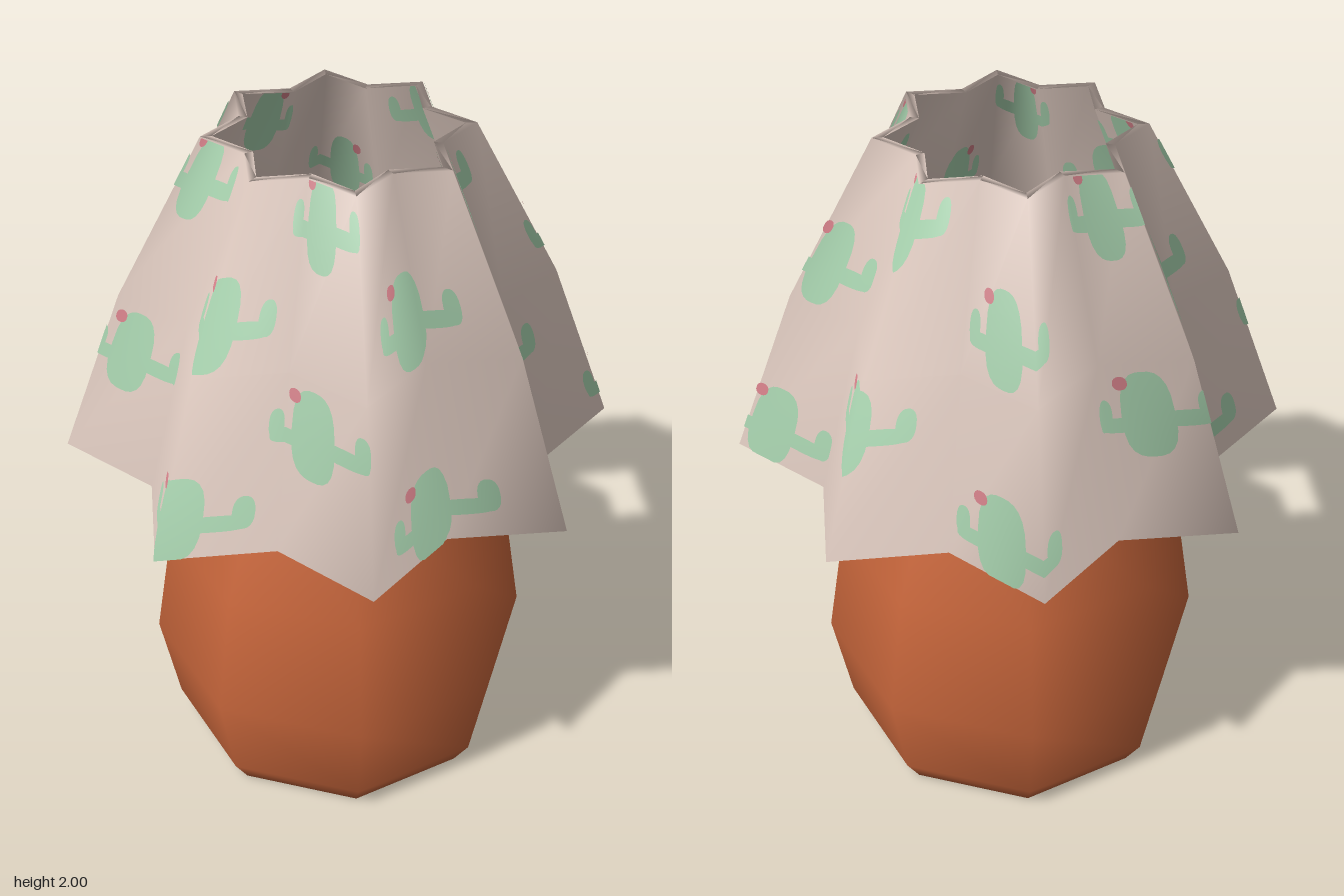
import * as THREE from 'three';

const mat = (name, color, side = THREE.FrontSide) => {
  const m = new THREE.MeshStandardMaterial({ color, side });
  m.name = name;
  return m;
};

// Shade cross-section as a closed loop: [tip radius, valley radius, height]
const SECTION = [
  [0.775, 0.59, 1.06], [0.6, 0.457, 1.54], [0.36, 0.275, 2],
  [0.33, 0.25, 2], [0.57, 0.43, 1.54], [0.745, 0.56, 1.045],
];
const COLS = 16; // eight tips and eight valleys

function shadeGeometry() {
  const pos = [], index = [], n = SECTION.length;
  for (let c = 0; c < COLS; c++) {
    const a = (c / COLS) * Math.PI * 2;
    for (const [tip, valley, y] of SECTION) {
      const r = c % 2 ? valley : tip;
      pos.push(r * Math.sin(a), y, r * Math.cos(a));
    }
  }
  for (let c = 0; c < COLS; c++) {
    for (let k = 0; k < n; k++) {
      const d = (c + 1) % COLS, m = (k + 1) % n;
      const p = c * n + k, q = d * n + k, r = d * n + m, s = c * n + m;
      index.push(p, q, r, p, r, s);
    }
  }
  const g = new THREE.BufferGeometry();
  g.setAttribute('position', new THREE.Float32BufferAttribute(pos, 3));
  g.setIndex(index);
  g.computeVertexNormals();
  return g;
}

// Position and normal on the outer or inner wall; u counts columns around the shade
function wallSampler(geo, inner) {
  const n = SECTION.length;
  const rows = inner ? [5, 4, 3] : [0, 1, 2];
  const read = (attr, c, k) =>
    new THREE.Vector3().fromBufferAttribute(geo.attributes[attr], (((c % COLS) + COLS) % COLS) * n + k);
  return (u, y, lift) => {
    const yy = THREE.MathUtils.clamp(y, 1.06, 2);
    const b = yy < 1.54 ? 0 : 1;
    const lo = rows[b], hi = rows[b + 1];
    const t = (yy - SECTION[lo][2]) / (SECTION[hi][2] - SECTION[lo][2]);
    const c = Math.floor(u), f = u - c;
    const mix = (attr) => read(attr, c, lo).lerp(read(attr, c + 1, lo), f)
      .lerp(read(attr, c, hi).lerp(read(attr, c + 1, hi), f), t);
    const p = mix('position'), normal = mix('normal').normalize();
    const a = (u / COLS) * Math.PI * 2, s = inner ? -lift : lift;
    p.x += s * Math.sin(a);
    p.z += s * Math.cos(a);
    return { p, normal };
  };
}

// Rounded blobs [u, y, half width, half height, roundness] laid on a wall as thin patches
function patchGeometry(blobs, sample, inner, lift) {
  const pos = [], nor = [], index = [], ROWS = 4, STEPS = 12;
  for (const [cu, cy, w, h, power] of blobs) {
    const us = [];
    for (let i = 0; i <= STEPS; i++) us.push(cu - w * Math.cos((i / STEPS) * Math.PI));
    // extra columns keep the patch folded along tips and valleys
    for (let k = Math.ceil(cu - w); k <= cu + w; k++) us.push(k);
    us.sort((a, b) => a - b);
    const base = pos.length / 3;
    us.forEach((u, i) => {
      const e = Math.min(1, Math.abs((u - cu) / w));
      const span = h * Math.pow(1 - Math.pow(e, power), 1 / power);
      for (let j = 0; j <= ROWS; j++) {
        const { p, normal } = sample(u, cy + span * ((2 * j) / ROWS - 1), lift);
        pos.push(p.x, p.y, p.z);
        nor.push(normal.x, normal.y, normal.z);
        if (i && j) {
          const d = base + i * (ROWS + 1) + j, a = d - ROWS - 2, b = d - 1, c = d - ROWS - 1;
          if (inner) index.push(a, d, b, a, c, d);
          else index.push(a, b, d, a, d, c);
        }
      }
    });
  }
  const g = new THREE.BufferGeometry();
  g.setAttribute('position', new THREE.Float32BufferAttribute(pos, 3));
  g.setAttribute('normal', new THREE.Float32BufferAttribute(nor, 3));
  g.setIndex(index);
  return g;
}

// One cactus: body, then each arm with its raised end
const CACTUS = [
  [0, 0, 0.26, 0.115, 2.8],
  [0.36, -0.015, 0.3, 0.022, 3],
  [0.6, 0.012, 0.1, 0.045, 2.4],
  [-0.3, -0.025, 0.18, 0.02, 3],
  [-0.42, 0.005, 0.075, 0.04, 2.4],
];
const FLOWER = [[-0.24, 0.088, 0.075, 0.018, 2.2]];

// Staggered rows of the print: heights and angles around the shade in degrees
const PRINT = [
  { heights: [1.165, 1.665], angles: [-27, 52, 125, 197, 272] },
  { heights: [1.405, 1.91], angles: [14, 88, 167, 234, 300] },
];

function printBlobs(parts) {
  const out = [];
  for (const { heights, angles } of PRINT)
    for (const y of heights)
      for (const a of angles)
        for (const [du, dy, w, h, p] of parts) {
          const blob = [a / 22.5 + du, y + dy, w, h, p];
          if (blob[1] - h < 1.99) out.push(blob);
        }
  return out;
}

export function createModel() {
  const model = new THREE.Group();
  model.name = 'tableLamp';
  const terracotta = mat('terracotta', 0xc4643a);
  const fabric = mat('beigeFabric', 0xdcc8be);
  const green = mat('cactusGreen', 0xa5cfac);
  const pink = mat('flowerPink', 0xd27f88);
  const add = (parent, name, geo, material) => {
    const mesh = new THREE.Mesh(geo, material);
    mesh.name = name;
    parent.add(mesh);
    return mesh;
  };

  // Eight-sided pottery base
  const profile = [
    [0, 0], [0.45, 0], [0.5, 0.08], [0.555, 0.36], [0.5, 0.72],
    [0.37, 1.05], [0.26, 1.3], [0.12, 1.42], [0, 1.42],
  ].map(([r, y]) => new THREE.Vector2(r, y));
  add(model, 'base', new THREE.LatheGeometry(profile, 8), terracotta);

  // Star-shaped shade with the print on both walls
  const shade = new THREE.Group();
  shade.name = 'shade';
  model.add(shade);
  const wall = shadeGeometry();
  add(shade, 'shadeWall', wall, fabric);
  for (const inner of [false, true]) {
    const sample = wallSampler(wall, inner);
    const where = inner ? 'inner' : 'outer';
    add(shade, where + 'Cacti', patchGeometry(printBlobs(CACTUS), sample, inner, 0.004), green);
    add(shade, where + 'Flowers', patchGeometry(printBlobs(FLOWER), sample, inner, 0.006), pink);
  }
  return model;
}
